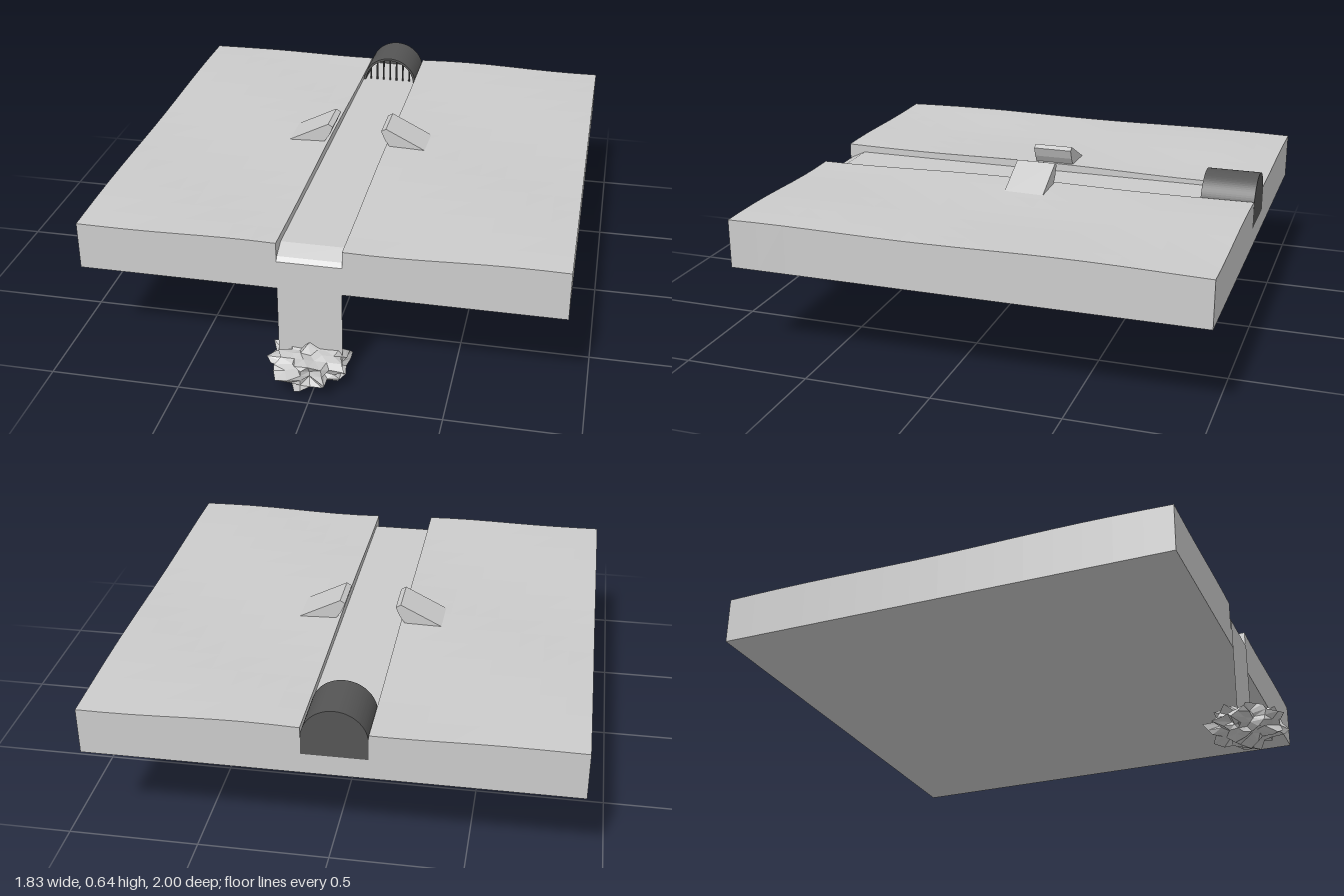
import * as THREE from 'three';

const grey = new THREE.MeshStandardMaterial({ color: 0xcccccc, flatShading: true });
const sheet = new THREE.MeshStandardMaterial({ color: 0xcccccc, flatShading: true, side: THREE.DoubleSide });
const dark = new THREE.MeshStandardMaterial({ color: 0x555555, side: THREE.DoubleSide });

const BACK = -1, FRONT = 0.83, HALF = 0.915;
const LEFT = 0.095, RIGHT = -0.15, MID = (LEFT + RIGHT) / 2, WIDTH = LEFT - RIGHT;
const BASE = 0.375, FLOOR = 0.455, WATER = 0.535;

// gently rolling ground height
const ground = (x, z) => 0.562 + 0.004 * Math.sin(7 * x + 2 * z + 1.5) + 0.004 * Math.cos(5 * z - 4 * x);

// repeatable noise from a direction
const noise = (x, y, z) => {
  const s = Math.sin(x * 127.1 + y * 311.7 + z * 74.7) * 43758.5453;
  return s - Math.floor(s);
};

export function createModel() {
  const model = new THREE.Group();
  const add = (name, geometry, material, x = 0, y = 0, z = 0, parent = model) => {
    const mesh = new THREE.Mesh(geometry, material);
    mesh.name = name;
    mesh.position.set(x, y, z);
    parent.add(mesh);
    return mesh;
  };

  // Two banks of land either side of the channel
  const depth = FRONT - BACK, midZ = (FRONT + BACK) / 2;
  for (const [name, x0, x1] of [['rightBank', -HALF, RIGHT], ['leftBank', LEFT, HALF]]) {
    const geo = new THREE.BoxGeometry(x1 - x0, 1, depth, 8, 1, 16);
    geo.translate((x0 + x1) / 2, 0, midZ);
    const p = geo.attributes.position;
    for (let i = 0; i < p.count; i++) {
      p.setY(i, p.getY(i) > 0 ? ground(p.getX(i), p.getZ(i)) : BASE);
    }
    geo.computeVertexNormals();
    add(name, geo, grey);
  }
  add('channelFloor', new THREE.BoxGeometry(WIDTH, FLOOR - BASE, depth), grey, MID, (BASE + FLOOR) / 2, midZ);

  // Stream, sloping lip and waterfall as one ribbon
  const path = [[BACK, WATER], [0.76, WATER], [0.82, 0.507], [0.833, 0.49], [0.833, 0.04]];
  const ribbon = new THREE.PlaneGeometry(WIDTH, 1, 1, path.length - 1);
  const rp = ribbon.attributes.position;
  for (let i = 0; i < rp.count; i++) {
    const [z, y] = path[Math.floor(i / 2)];
    rp.setXYZ(i, rp.getX(i) + MID, y, z);
  }
  ribbon.computeVertexNormals();
  add('waterfall', ribbon, sheet);

  // Splash: a squashed ball pulled into uneven spikes
  const splash = new THREE.IcosahedronGeometry(1, 3);
  const sp = splash.attributes.position;
  const v = new THREE.Vector3();
  for (let i = 0; i < sp.count; i++) {
    v.fromBufferAttribute(sp, i).normalize();
    const [a, b, c] = v.toArray().map(n => Math.round(n * 100) / 100 + 0);
    v.multiplyScalar(0.5 + 0.55 * noise(a, b, c));
    sp.setXYZ(i, v.x * 0.175, v.y * 0.08, v.z * 0.17);
  }
  splash.computeBoundingBox();
  const box = splash.boundingBox;
  splash.translate(0, -box.min.y, 1 - FRONT - box.max.z);
  splash.computeVertexNormals();
  add('splash', splash, sheet, -0.035, 0, FRONT);

  // Arched tunnel at the head of the stream
  const tunnel = new THREE.Group();
  tunnel.name = 'tunnel';
  model.add(tunnel);
  const R = WIDTH / 2, SPRING = 0.645 - R, LENGTH = 0.21;
  const arch = r => {
    const s = new THREE.Shape();
    s.moveTo(r, FLOOR - SPRING);
    s.lineTo(r, 0);
    s.absarc(0, 0, r, 0, Math.PI, false);
    s.lineTo(-r, FLOOR - SPRING);
    s.closePath();
    return s;
  };
  const shell = arch(R);
  shell.holes.push(arch(R - 0.01));
  add('tunnelShell', new THREE.ExtrudeGeometry(shell, { depth: LENGTH, bevelEnabled: false, curveSegments: 24 }),
    dark, MID, SPRING, BACK, tunnel);
  add('tunnelBack', new THREE.ShapeGeometry(arch(R), 24), dark, MID, SPRING, BACK, tunnel);

  // Upright bars across the mouth
  for (let i = -3; i <= 3; i++) {
    const x = i * 0.03, top = Math.sqrt((R - 0.008) ** 2 - x * x) + SPRING;
    add('bar', new THREE.CylinderGeometry(0.004, 0.004, top - FLOOR, 8), dark,
      MID + x, (top + FLOOR) / 2, BACK + LENGTH - 0.015, tunnel);
  }

  // Mirrored ramps rising toward the channel
  const profile = [[0.3, 0.555], [0.122, 0.645], [0.102, 0.633], [0.118, 0.595], [0.15, 0.55]];
  for (const side of [1, -1]) {
    const pts = profile.map(([x, y]) => new THREE.Vector2(side * x, y));
    const ramp = new THREE.ExtrudeGeometry(new THREE.Shape(pts), { depth: 0.16, bevelEnabled: false });
    add(side > 0 ? 'leftRamp' : 'rightRamp', ramp, grey, MID, 0, -0.195);
  }
  return model;
}
